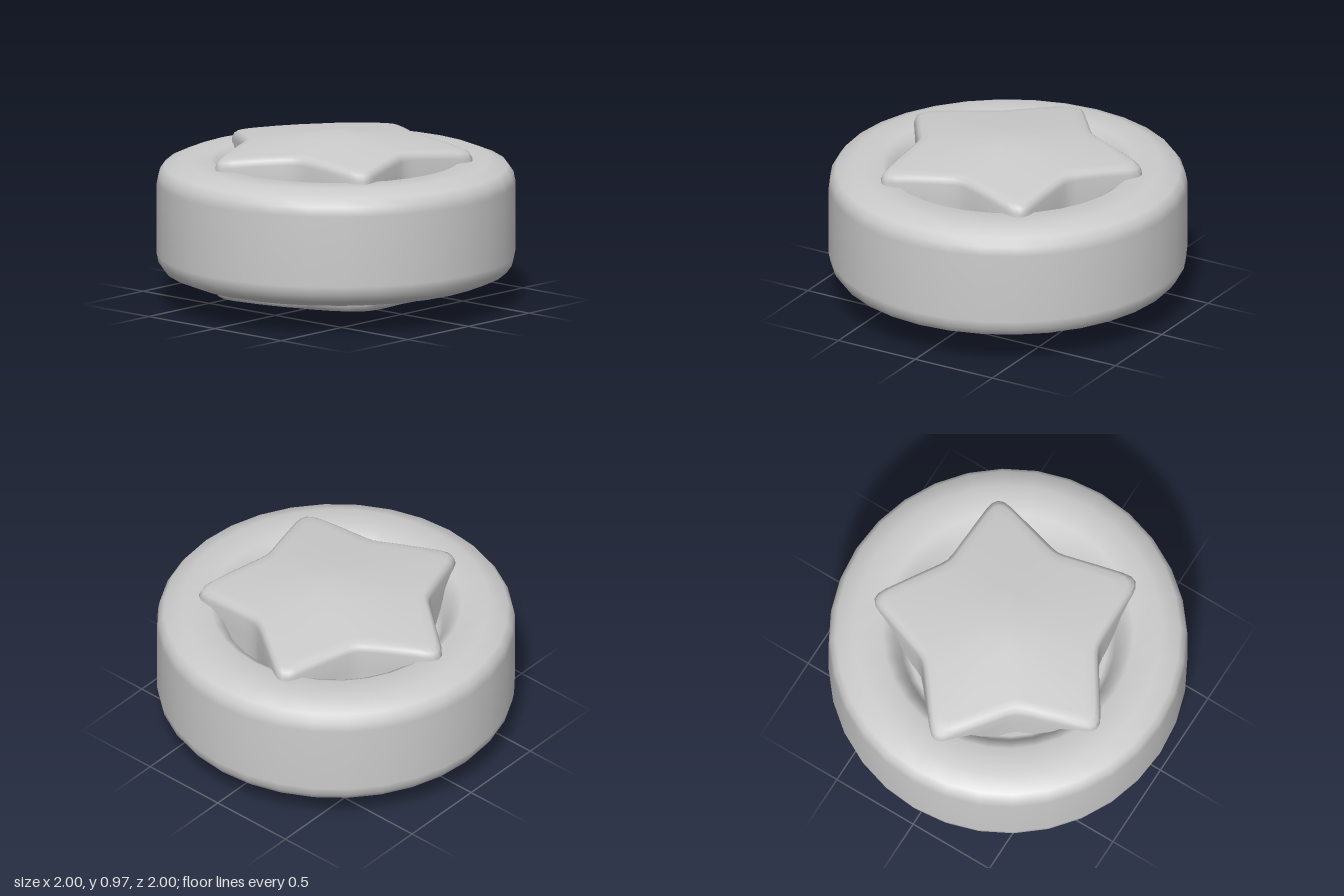
import * as THREE from 'three';

const MID = 0.49; // height of the mirror plane

const material = new THREE.MeshStandardMaterial({ color: 0xcccccc });

// Rounded tyre with a dished recess on both faces
function makeTyre() {
  const upper = [[1, 0.2], [0.99, 0.25], [0.96, 0.292], [0.86, 0.333], [0.7, 0.333],
    [0.64, 0.292], [0.6, 0.2], [0.55, 0.12], [0, 0.12]];
  const lower = upper.map(([r, y]) => [r, -y]).reverse();
  const profile = [...lower, ...upper].map(([r, y]) => new THREE.Vector2(r, y));
  const mesh = new THREE.Mesh(new THREE.LatheGeometry(profile, 32), material);
  mesh.name = 'tyre';
  return mesh;
}

// Domed five-pointed star, running through the tyre and mirrored top to bottom
function makeStar() {
  // half of one arm: [degrees from the tip, radius]
  const half = [[0, 0.765], [2.5, 0.755], [5.5, 0.722], [14.2, 0.629], [25.6, 0.555], [31, 0.533], [36, 0.524]];
  const outline = [];
  for (let arm = 0; arm < 5; arm++) {
    half.forEach(([a, r]) => outline.push([arm * 72 + a, r]));
    half.slice(1, -1).reverse().forEach(([a, r]) => outline.push([arm * 72 + 72 - a, r]));
  }
  const n = outline.length;
  const dome = (r) => 0.487 - 0.09 * r - 0.05 * r * r;

  // rings from the crown out to the rim and down the wall
  const upper = [
    [0.3, dome], [0.6, dome], [0.85, dome], [0.94, dome],
    [0.98, (r) => dome(r) - 0.012], [1, (r) => dome(r) - 0.04], [1, () => 0.28],
  ];
  const lower = upper.map(([s, f]) => [s, (r) => -f(r)]).reverse();
  const rings = [...upper, ...lower];

  const positions = [0, dome(0), 0];
  for (const [s, height] of rings) {
    for (const [deg, r] of outline) {
      const a = THREE.MathUtils.degToRad(deg);
      positions.push(-r * s * Math.cos(a), height(r * s), r * s * Math.sin(a));
    }
  }
  positions.push(0, -dome(0), 0);

  const index = [];
  const id = (ring, j) => 1 + ring * n + (j % n);
  const last = rings.length - 1;
  const bottom = 1 + rings.length * n;
  for (let j = 0; j < n; j++) {
    index.push(0, id(0, j), id(0, j + 1));
    for (let i = 0; i < last; i++) {
      const a = id(i, j), b = id(i + 1, j), c = id(i + 1, j + 1), d = id(i, j + 1);
      index.push(a, b, c, a, c, d);
    }
    index.push(bottom, id(last, j + 1), id(last, j));
  }
  const geometry = new THREE.BufferGeometry();
  geometry.setAttribute('position', new THREE.Float32BufferAttribute(positions, 3));
  geometry.setIndex(index);
  geometry.computeVertexNormals();
  const mesh = new THREE.Mesh(geometry, material);
  mesh.name = 'starHub';
  return mesh;
}

export function createModel() {
  const model = new THREE.Group();
  model.name = 'starWheel';
  for (const part of [makeTyre(), makeStar()]) {
    part.position.y = MID;
    model.add(part);
  }
  return model;
}
